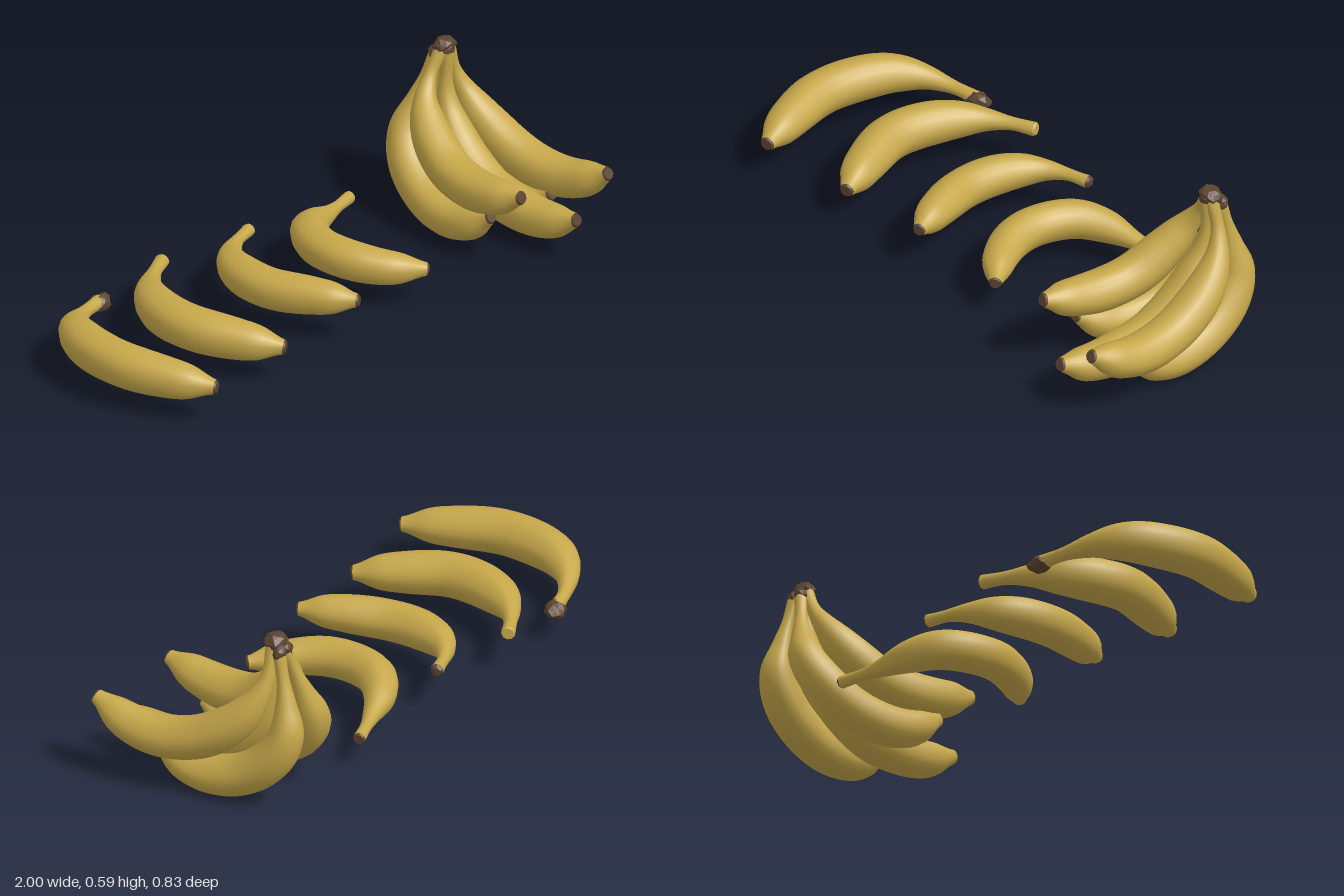
import * as THREE from 'three';

const peel = new THREE.MeshStandardMaterial({ color: 0xc6a74a });
peel.name = 'yellow peel';
const bark = new THREE.MeshStandardMaterial({ color: 0x5a432f });
bark.name = 'brown stem';

const SIDES = 20, STEPS = 48;
const { lerp, smoothstep } = THREE.MathUtils;

// Relative thickness at even steps from blossom tip to stem end
const thickness = new THREE.SplineCurve(
  [.33, .76, .92, .99, 1, 1, .95, .79, .5, .3, .32].map((r, i) => new THREE.Vector2(i, r)));

// Loose bananas seen from above: [x, z] from blossom tip to stem end
const loose = [
  { r: .074, tipY: .125, endY: .105, plan: [[-.815, .33], [-.88, .18], [-.922, .03], [-.915, -.1], [-.875, -.22], [-.81, -.3], [-.72, -.35], [-.62, -.378]] },
  { r: .074, tipY: .12, endY: .142, plan: [[-.455, .29], [-.53, .15], [-.583, .01], [-.58, -.1], [-.54, -.21], [-.48, -.285], [-.4, -.342], [-.325, -.38]] },
  { r: .067, tipY: .15, endY: .145, plan: [[-.1, .275], [-.165, .14], [-.212, 0], [-.21, -.11], [-.18, -.2], [-.13, -.26], [-.065, -.298], [.02, -.325]] },
  { r: .066, tipY: .12, endY: .095, plan: [[.255, .245], [.155, .14], [.105, .03], [.105, -.08], [.147, -.175], [.22, -.235], [.34, -.275], [.475, -.315]] },
];

// Bunch bananas seen from the side: [z, y] from blossom tip to stem end
const upperShort = [[.325, .275], [.19, .235], [.08, .226], [-.03, .25], [-.13, .32], [-.19, .4], [-.21, .47], [-.205, .555]];
const upperLong = [[.392, .262], [.26, .197], [.14, .182], [.01, .212], [-.105, .285], [-.172, .37], [-.2, .45], [-.2, .555]];
const middle = [[.398, .152], [.27, .108], [.15, .103], [.03, .125], [-.08, .195], [-.155, .295], [-.192, .4], [-.19, .55]];
const lower = [[.19, .135], [.08, .078], [-.02, .068], [-.13, .098], [-.226, .17], [-.274, .26], [-.265, .37], [-.23, .53]];
const bunch = [
  { side: upperShort, tipX: .605, stemX: .785, lift: 0, r: .072 },
  { side: upperLong, tipX: .938, stemX: .815, lift: 0, r: .072 },
  { side: middle, tipX: .786, stemX: .8, lift: 0, r: .072 },
  { side: lower, tipX: .605, stemX: .785, lift: .022, r: .07 },
  { side: lower, tipX: .885, stemX: .822, lift: 0, r: .07 },
];

// Sweep a softly five-ridged section along the path
function sweep(path, size) {
  const positions = [], index = [];
  const u = new THREE.Vector3(0.3, 1, 0.1), v = new THREE.Vector3();
  for (let i = 0; i <= STEPS; i++) {
    const t = i / STEPS, c = path.getPointAt(t), d = path.getTangentAt(t);
    const r = size * thickness.getPoint(t).y;
    u.addScaledVector(d, -u.dot(d)).normalize();
    v.crossVectors(d, u);
    for (let j = 0; j < SIDES; j++) {
      const a = j / SIDES * Math.PI * 2, k = r * (1 + 0.025 * Math.cos(5 * a));
      const p = c.clone().addScaledVector(u, Math.cos(a) * k).addScaledVector(v, Math.sin(a) * k);
      positions.push(p.x, p.y, p.z);
      if (i < STEPS) {
        const m = i * SIDES + j, n = i * SIDES + (j + 1) % SIDES;
        index.push(m, n, m + SIDES, n, n + SIDES, m + SIDES);
      }
    }
  }
  const geometry = new THREE.BufferGeometry();
  geometry.setAttribute('position', new THREE.Float32BufferAttribute(positions, 3));
  geometry.setIndex(index);
  geometry.computeVertexNormals();
  return geometry;
}

function add(group, name, geometry, material) {
  const mesh = new THREE.Mesh(geometry, material);
  mesh.name = name;
  group.add(mesh);
  return mesh;
}

// Thin disc closing an end of the peel
function endDisc(group, name, at, dir, r, material) {
  const disc = add(group, name, new THREE.CylinderGeometry(r * 0.8, r * 1.01, 0.008, 10), material);
  disc.position.copy(at).addScaledVector(dir, 0.002);
  disc.quaternion.setFromUnitVectors(new THREE.Vector3(0, 1, 0), dir);
}

// Rough faceted lump of dried stem, its y axis along dir
function lump(group, name, at, size, seed, dir = new THREE.Vector3(0, 1, 0)) {
  const g = new THREE.IcosahedronGeometry(1, 1), p = g.attributes.position, q = new THREE.Vector3();
  for (let i = 0; i < p.count; i++) {
    q.fromBufferAttribute(p, i);
    const k = 1 + 0.16 * Math.sin(q.x * 7 + seed) * Math.cos(q.y * 5 + q.z * 6 + seed * 2);
    p.setXYZ(i, q.x * k * size[0], q.y * k * size[1], q.z * k * size[2]);
  }
  g.computeVertexNormals();
  const mesh = add(group, name, g, bark);
  mesh.position.set(...at);
  mesh.quaternion.setFromUnitVectors(new THREE.Vector3(0, 1, 0), dir.normalize());
}

function banana(name, points, r, stemMaterial) {
  const group = new THREE.Group();
  group.name = name;
  const path = new THREE.CatmullRomCurve3(points);
  add(group, 'peel', sweep(path, r), peel);
  endDisc(group, 'blossomTip', path.getPointAt(0), path.getTangentAt(0).negate(), r * 0.33, bark);
  endDisc(group, 'stemEnd', path.getPointAt(1), path.getTangentAt(1), r * 0.32, stemMaterial);
  return group;
}

export function createModel() {
  const model = new THREE.Group();
  model.name = 'bananas';

  // Row of loose bananas lying level, tips and stems bending up or down
  loose.forEach(({ plan, r, tipY, endY }, i) => {
    const points = plan.map(([x, z], k) => {
      const t = k / (plan.length - 1);
      const y = lerp(tipY, .136, smoothstep(t, 0, .3)) + (endY - .136) * smoothstep(t, .5, 1);
      return new THREE.Vector3(x, y, z);
    });
    model.add(banana('looseBanana' + (i + 1), points, r, i === 1 ? peel : bark));
  });
  lump(model.children[0], 'stemCap', [-.615, .1, -.378], [.029, .042, .036], 1, new THREE.Vector3(.9, -.1, -.3));
  lump(model.children[2], 'stemCap', [.021, .147, -.326], [.018, .012, .02], 3, new THREE.Vector3(.9, .2, -.3));

  // Bunch curving sideways into a shared crown
  const hand = new THREE.Group();
  hand.name = 'bunch';
  bunch.forEach(({ side, tipX, stemX, lift, r }, i) => {
    const points = side.map(([z, y], k) => {
      const t = k / (side.length - 1);
      return new THREE.Vector3(lerp(tipX, stemX, t * t), y + lift * (1 - t), z);
    });
    hand.add(banana('bunchBanana' + (i + 1), points, r, bark));
    const end = points.at(-1);
    lump(hand, 'crownStem' + (i + 1), [end.x, end.y + .005, end.z], [.026, .03, .023], i * 1.7);
  });
  lump(hand, 'crown', [.802, .566, -.205], [.042, .03, .036], 2);
  model.add(hand);
  return model;
}
